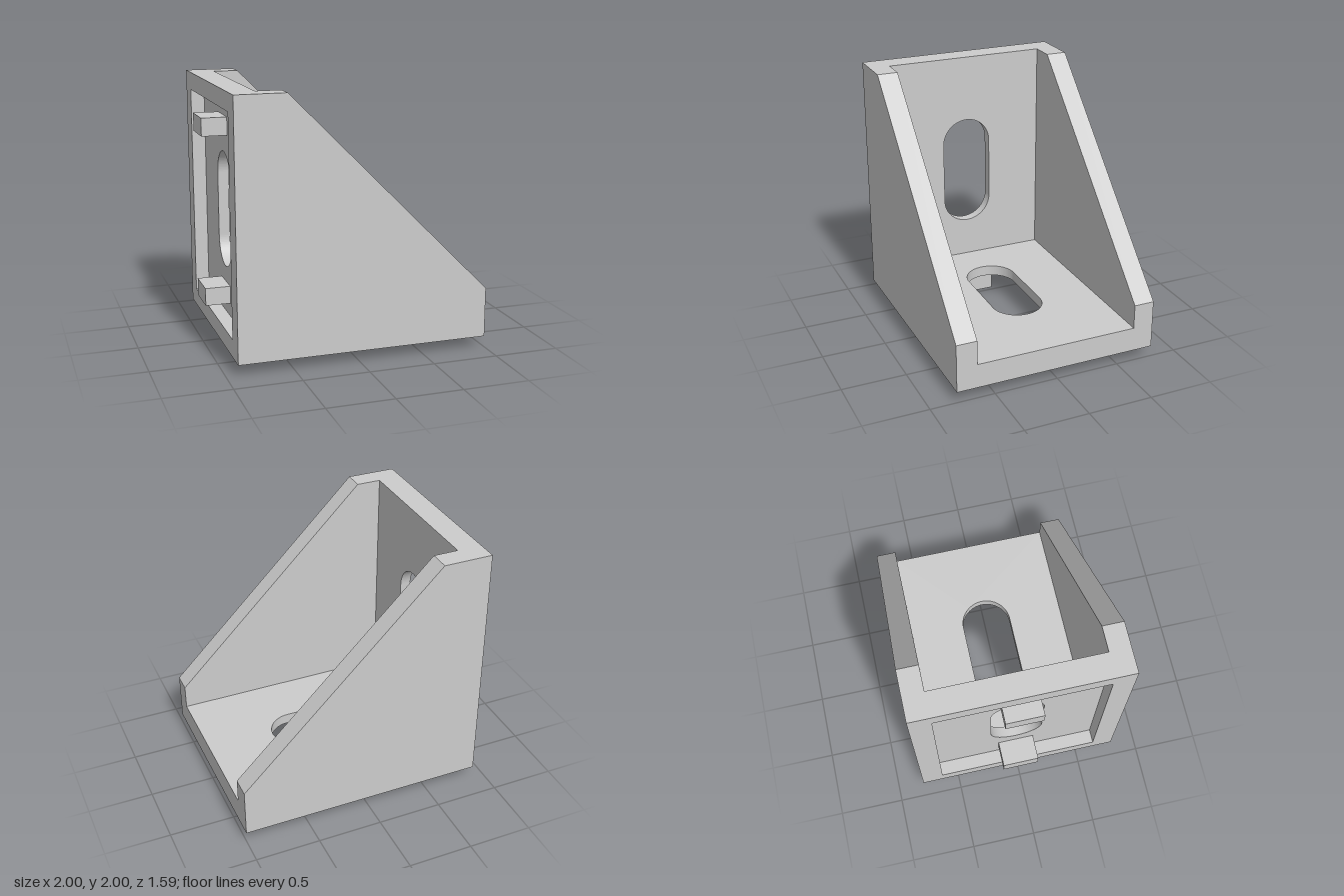
import * as THREE from 'three';

const SIZE = 1.915;      // length of each leg
const HALF = 0.795;      // half of the full width
const INNER = 0.635;     // half of the gap between the cheeks
const THICK = 0.19;      // leg thickness
const RECESS = 0.106;    // depth of the recess on the mounting face

const grey = new THREE.MeshStandardMaterial({ color: 0xcccccc });
grey.name = 'light grey';

function rect(path, u0, u1, half) {
  path.moveTo(u0, -half);
  path.lineTo(u1, -half);
  path.lineTo(u1, half);
  path.lineTo(u0, half);
  path.closePath();
  return path;
}

function slot(centre, reach, radius) {
  const p = new THREE.Path();
  p.absarc(centre + reach, 0, radius, -Math.PI / 2, Math.PI / 2, false);
  p.absarc(centre - reach, 0, radius, Math.PI / 2, Math.PI * 1.5, false);
  p.closePath();
  return p;
}

function part(name, geometry) {
  const mesh = new THREE.Mesh(geometry, grey);
  mesh.name = name;
  return mesh;
}

// Flat layer lying on the xz plane between two heights
function layer(name, shape, from, to) {
  const g = new THREE.ExtrudeGeometry(shape, { depth: to - from, bevelEnabled: false, curveSegments: 24 });
  g.rotateX(-Math.PI / 2);
  g.translate(0, from, 0);
  return part(name, g);
}

// One leg: recessed rim, slotted web and two locating pegs
function makeLeg(name) {
  const leg = new THREE.Group();
  leg.name = name;

  const rim = rect(new THREE.Shape(), 0, SIZE, INNER);
  rim.holes.push(rect(new THREE.Path(), 0.136, SIZE - 0.136, 0.63));
  leg.add(layer('rim', rim, 0, RECESS));

  const web = rect(new THREE.Shape(), RECESS, SIZE, INNER);
  web.holes.push(slot(0.945, 0.245, 0.2));
  leg.add(layer('slottedWeb', web, RECESS, THICK));

  for (const u of [0.31, 1.6]) {
    const peg = part('locatingPeg', new THREE.BoxGeometry(0.135, 0.085 + RECESS, 0.28));
    peg.position.set(u, (RECESS - 0.085) / 2, 0);
    leg.add(peg);
  }
  return leg;
}

export function createModel() {
  const bracket = new THREE.Group();
  bracket.name = 'cornerBracket';

  const floor = makeLeg('floorLeg');
  const back = makeLeg('uprightLeg');
  // Half turn about the diagonal stands the second leg upright
  back.quaternion.setFromAxisAngle(new THREE.Vector3(1, 1, 0).normalize(), Math.PI);
  bracket.add(floor, back);

  // Side cheeks with the sloping edge
  const cheek = new THREE.Shape([
    [0, 0], [SIZE, 0], [SIZE, 0.38], [0.38, SIZE], [0, SIZE],
  ].map(([x, y]) => new THREE.Vector2(x, y)));
  for (const [name, z] of [['frontCheek', INNER], ['backCheek', -HALF]]) {
    const mesh = part(name, new THREE.ExtrudeGeometry(cheek, { depth: HALF - INNER, bevelEnabled: false }));
    mesh.position.z = z;
    bracket.add(mesh);
  }

  bracket.position.set(-0.915, 0.085, 0);
  const model = new THREE.Group();
  model.name = 'model';
  model.add(bracket);
  return model;
}
